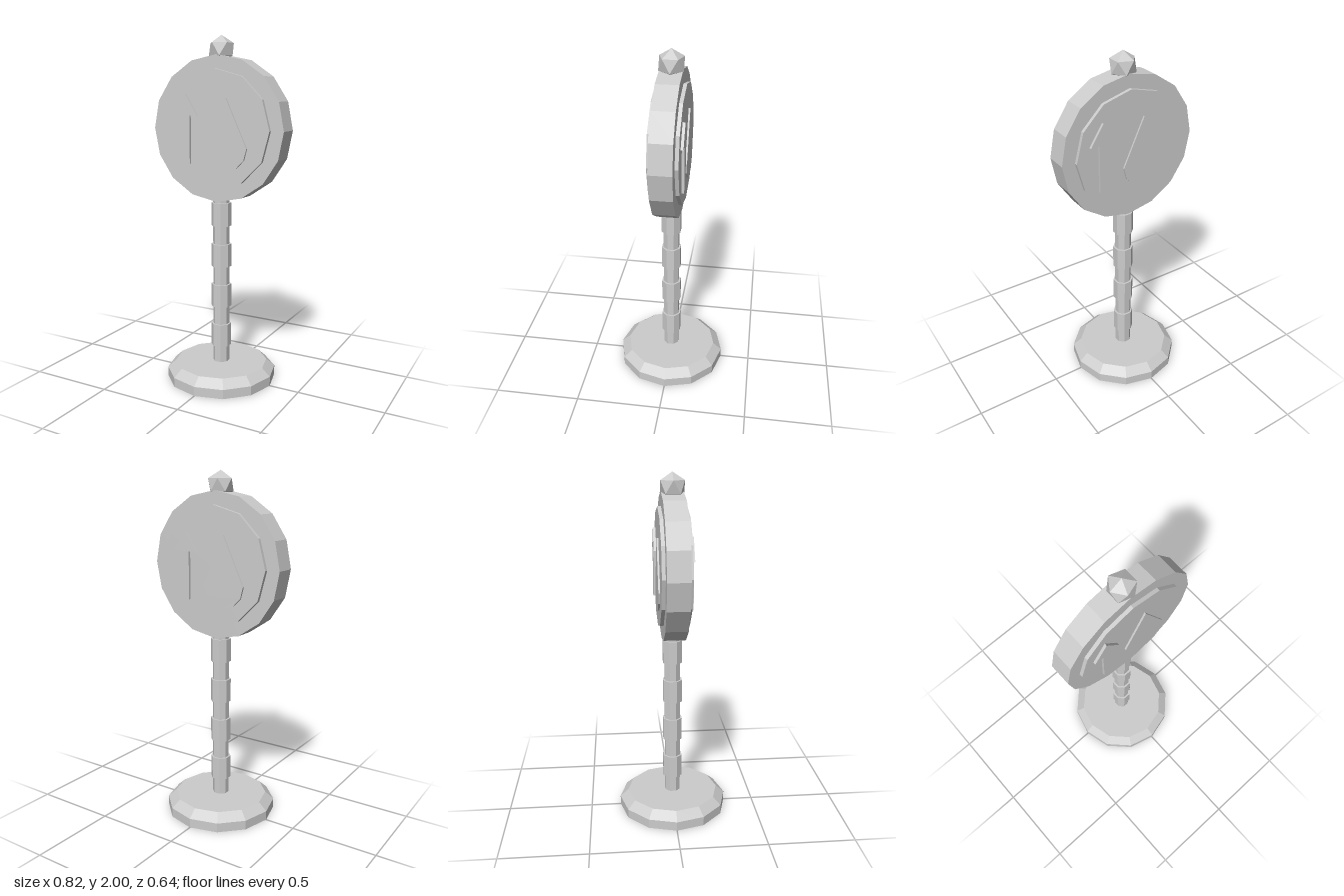
import * as THREE from 'three';

export function createModel() {
  const model = new THREE.Group();
  model.name = 'signPost';
  const grey = new THREE.MeshStandardMaterial({ color: 0xcccccc });
  grey.name = 'light grey';

  // Adds a faceted mesh with one normal per face
  function add(name, geometry, parent = model) {
    const flat = geometry.index ? geometry.toNonIndexed() : geometry;
    flat.computeVertexNormals();
    const mesh = new THREE.Mesh(flat, grey);
    mesh.name = name;
    parent.add(mesh);
    return mesh;
  }

  // Chamfered twelve-sided base
  const baseProfile = [[0, 0], [0.322, 0], [0.322, 0.055], [0.272, 0.1], [0, 0.1]];
  add('base', new THREE.LatheGeometry(baseProfile.map(([r, y]) => new THREE.Vector2(r, y)), 12));

  // Octagonal pole with four raised sleeves
  function octagon(name, radius, bottom, top) {
    const g = new THREE.CylinderGeometry(radius, radius, top - bottom, 8);
    g.rotateY(Math.PI / 8);
    g.translate(0, (top + bottom) / 2, 0);
    add(name, g);
  }
  octagon('pole', 0.048, 0.09, 1.2);
  for (let i = 0; i < 4; i++) {
    const y = 0.2 + i * 0.243;
    octagon('poleSleeve', 0.059, y, y + 0.135);
  }

  // Round sign with a narrower raised panel through both faces
  const signY = 1.485;
  function disc(name, radius, depth, sides) {
    const g = new THREE.CylinderGeometry(radius, radius, depth, sides);
    g.rotateX(Math.PI / 2);
    g.translate(0, signY, 0);
    add(name, g);
  }
  disc('signRim', 0.409, 0.124, 16);
  disc('signPanel', 0.334, 0.164, 12);

  // Arrow and drop outlines
  const arrow = new THREE.Shape([
    [-0.206, 1.288], [-0.152, 1.288], [-0.152, 1.56], [-0.103, 1.56],
    [-0.18, 1.68], [-0.257, 1.56], [-0.206, 1.56],
  ].map(([x, y]) => new THREE.Vector2(x, y)));

  const dropPoints = [new THREE.Vector2(0.075, 1.66)];
  for (let i = 0; i <= 6; i++) {
    const a = Math.PI + (i / 6) * Math.PI;
    dropPoints.push(new THREE.Vector2(0.075 + 0.128 * Math.cos(a), 1.387 + 0.128 * Math.sin(a)));
  }
  const drop = new THREE.Shape(dropPoints);

  // The same raised symbols on the front and the back
  ['front', 'back'].forEach((side, i) => {
    const symbols = new THREE.Group();
    symbols.name = side + 'Symbols';
    symbols.rotation.y = i * Math.PI;
    model.add(symbols);
    const raise = (name, shape, top) => {
      const g = new THREE.ExtrudeGeometry(shape, { depth: top - 0.075, bevelEnabled: false });
      g.translate(0, 0, 0.075);
      add(name, g, symbols);
    };
    raise('arrow', arrow, 0.097);
    raise('drop', drop, 0.092);
  });

  // Faceted knob standing on one point
  const knob = new THREE.IcosahedronGeometry(0.078, 0);
  knob.rotateZ(Math.atan2(1, (1 + Math.sqrt(5)) / 2));
  knob.translate(0, 1.922, 0);
  add('topKnob', knob);

  return model;
}
